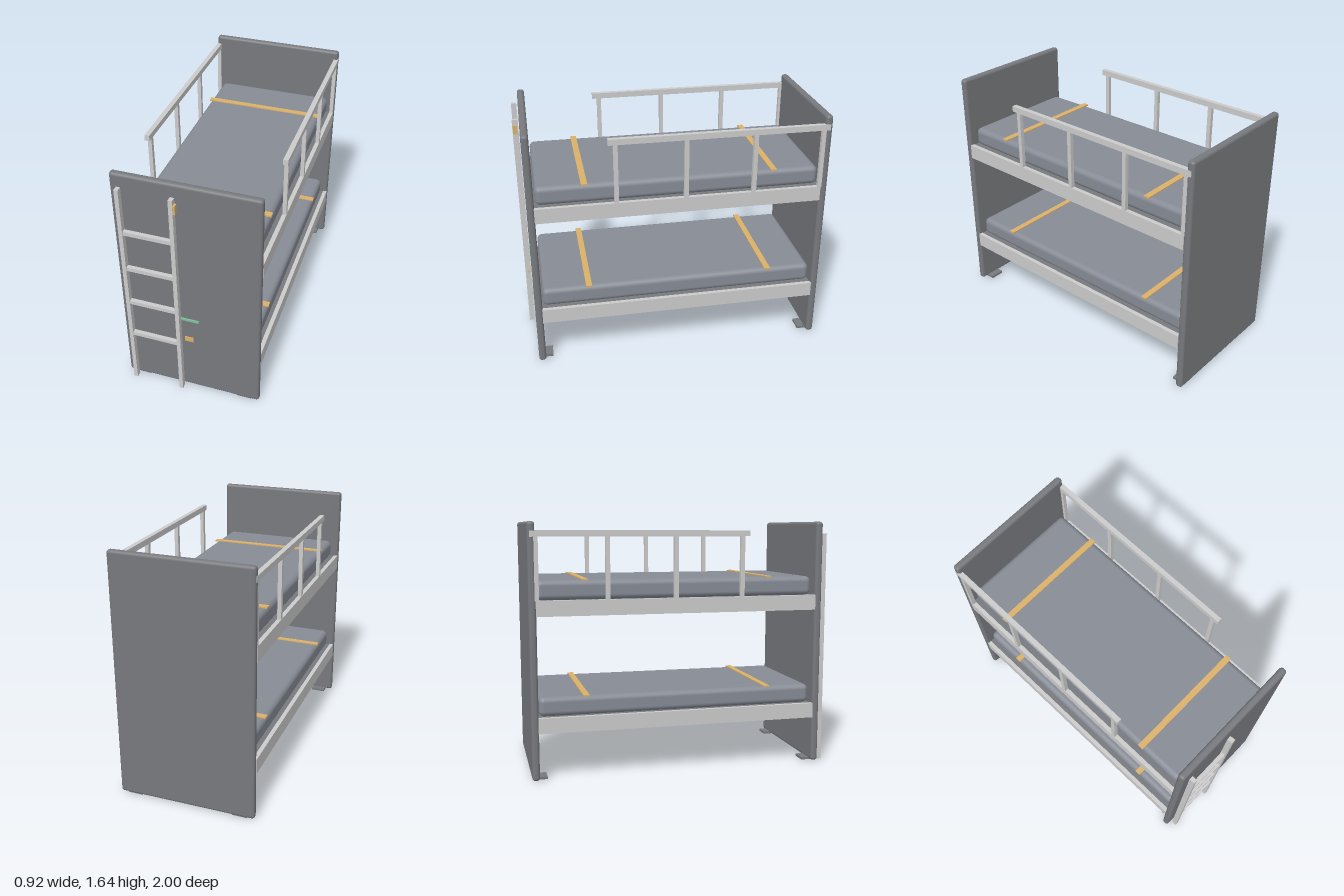
import * as THREE from 'three';
import { RoundedBoxGeometry } from 'three/addons/geometries/RoundedBoxGeometry.js';

const mat = (color) => new THREE.MeshStandardMaterial({ color });

export function createModel() {
  const model = new THREE.Group();
  model.name = 'bunkBed';
  const grey = mat(0xcccccc);
  const panelGrey = mat(0x77797d);
  const mattressGrey = mat(0x868b95);
  const amber = mat(0xdbb06a);
  const green = mat(0x7fc4a0);
  const purple = mat(0x8e669c);

  // Box given by its extents on each axis, rounded when a radius is given
  function box(parent, name, material, [x0, x1], [y0, y1], [z0, z1], radius = 0) {
    const size = [x1 - x0, y1 - y0, z1 - z0];
    const geometry = radius
      ? new RoundedBoxGeometry(...size, 4, radius)
      : new THREE.BoxGeometry(...size);
    const mesh = new THREE.Mesh(geometry, material);
    mesh.name = name;
    mesh.position.set((x0 + x1) / 2, (y0 + y1) / 2, (z0 + z1) / 2);
    parent.add(mesh);
    return mesh;
  }
  function group(name) {
    const g = new THREE.Group();
    g.name = name;
    model.add(g);
    return g;
  }
  // Extents mirrored to the left (+1) or right (-1) side
  const side = (s, a, b) => (s > 0 ? [a, b] : [-b, -a]);

  // End panels and their feet
  box(model, 'frontPanel', panelGrey, [-0.46, 0.46], [0.004, 1.64], [0.905, 0.953], 0.019);
  box(model, 'backPanel', panelGrey, [-0.46, 0.46], [0.004, 1.64], [-1, -0.952], 0.019);
  for (const s of [1, -1]) {
    box(model, 'frontFoot', panelGrey, side(s, 0.31, 0.41), [0, 0.016], [0.855, 0.945]);
    box(model, 'backFoot', panelGrey, side(s, 0.31, 0.41), [0, 0.016], [-0.99, -0.9]);
  }

  // Two bunks: rails, base, mattress and straps
  for (const [name, y] of [['lowerBunk', 0.41], ['upperBunk', 1.153]]) {
    const bunk = group(name);
    for (const s of [1, -1]) {
      box(bunk, 'sideRail', grey, side(s, 0.43, 0.458), [y - 0.1, y], [-0.955, 0.908]);
    }
    box(bunk, 'base', panelGrey, [-0.43, 0.43], [y - 0.05, y - 0.004], [-0.953, 0.906]);
    box(bunk, 'mattress', mattressGrey, [-0.41, 0.41], [y - 0.004, y + 0.122], [-0.947, 0.897], 0.035);
    for (const z of [0.587, -0.643]) {
      box(bunk, 'strap', amber, [-0.415, 0.415], [y + 0.119, y + 0.129], [z - 0.02, z + 0.02]);
    }
    if (name === 'upperBunk') {
      box(bunk, 'undersideSheet', purple, [-0.41, 0.41], [y - 0.056, y - 0.05], [-0.945, 0.87]);
    }
  }

  // Guard rails on both sides of the upper bunk
  for (const s of [1, -1]) {
    const guard = group(s > 0 ? 'leftGuard' : 'rightGuard');
    box(guard, 'topRail', grey, side(s, 0.43, 0.462), [1.545, 1.583], [-0.985, 0.436]);
    for (const z of [0.39, -0.057, -0.502, -0.948]) {
      box(guard, 'post', grey, side(s, 0.431, 0.457), [1.15, 1.55], [z - 0.014, z + 0.014]);
    }
  }

  // Ladder with four rungs
  const ladder = group('ladder');
  for (const x of [-0.398, -0.068]) {
    box(ladder, 'ladderRail', grey, [x - 0.013, x + 0.013], [0, 1.56], [0.964, 1]);
  }
  for (let i = 0; i < 4; i++) {
    const y = 0.413 + i * 0.2778;
    box(ladder, 'rung', grey, [-0.39, -0.075], [y - 0.013, y + 0.013], [0.968, 0.996]);
  }

  // Small markers beside the ladder
  box(model, 'upperTag', amber, [-0.056, -0.041], [1.465, 1.525], [0.969, 0.998]);
  box(model, 'lowerTag', amber, [-0.03, 0.027], [0.445, 0.482], [0.974, 0.979]);
  box(model, 'greenStrip', green, [-0.06, 0.06], [0.602, 0.62], [0.95, 0.959]);

  return model;
}
